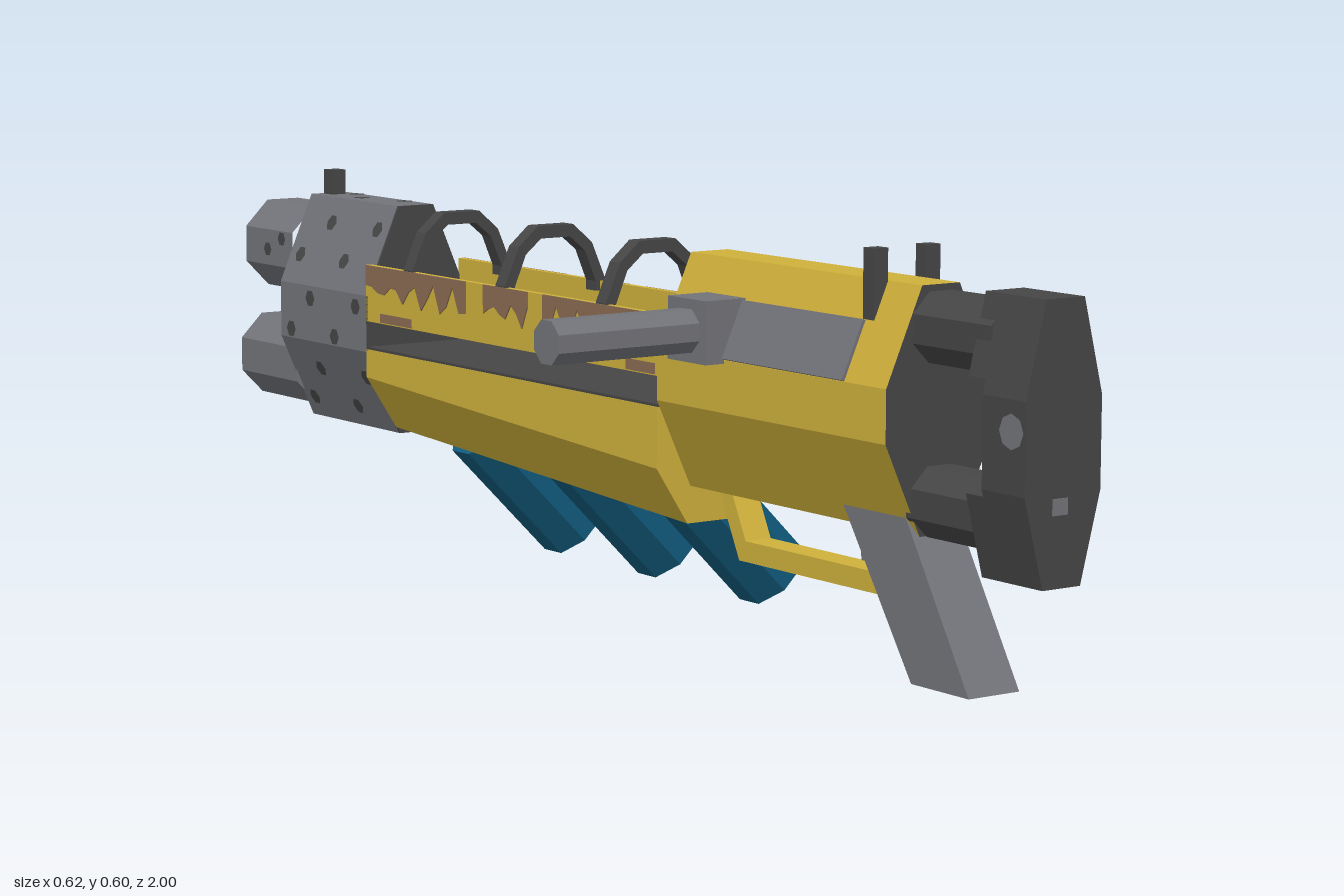
import * as THREE from 'three';

const mat = (name, color, side = THREE.FrontSide) => {
  const m = new THREE.MeshStandardMaterial({ color, side });
  m.name = name;
  return m;
};

export function createModel() {
  const yellow = mat('yellow paint', 0xcfb03b);
  const grey = mat('grey metal', 0x73747a);
  const dark = mat('dark metal', 0x464646);
  const blue = mat('blue canister', 0x115c7e);
  const rust = mat('rust', 0x8a6c52);

  const model = new THREE.Group();
  const body = new THREE.Group();
  body.name = 'blaster';
  body.position.x = 0.0525;
  model.add(body);

  const add = (name, geo, material, x = 0, y = 0, z = 0) => {
    const m = new THREE.Mesh(geo, material);
    m.name = name;
    m.position.set(x, y, z);
    body.add(m);
    return m;
  };
  const box = (name, material, w, h, d, x, y, z) =>
    add(name, new THREE.BoxGeometry(w, h, d), material, x, y, z);
  const flat = (geo) => {
    const g = geo.toNonIndexed();
    g.computeVertexNormals();
    return g;
  };
  const poly = (pts) => new THREE.Shape(pts.map(([x, y]) => new THREE.Vector2(x, y)));
  // Prism from a half outline (right side, bottom to top), mirrored across x
  const prism = (half, z0, z1) => {
    const pts = [...half, ...[...half].reverse().map(([x, y]) => [-x, y])];
    const g = new THREE.ExtrudeGeometry(poly(pts), { depth: z1 - z0, bevelEnabled: false });
    return g.translate(0, 0, z0);
  };
  // Plate cut in the side plane from (z, y) points, w wide
  const sidePlate = (pts, w) => {
    const g = new THREE.ExtrudeGeometry(poly(pts.map(([z, y]) => [-z, y])), { depth: w, bevelEnabled: false });
    return g.translate(0, 0, -w / 2).rotateY(Math.PI / 2);
  };

  // Receiver
  const receiver = [[0.0325, 0.215], [0.0925, 0.345], [0.0925, 0.42], [0.0325, 0.555]];
  add('receiver', prism(receiver, 0.23, 0.75), [dark, yellow]);

  // Side slot and cocking handle on the right
  const slot = box('boltSlot', grey, 0.008, 0.088, 0.36, -0.075, 0.461, 0.48);
  slot.rotation.z = -0.418;
  box('handleMount', grey, 0.075, 0.09, 0.09, -0.087, 0.46, 0.345);
  const rod = new THREE.CylinderGeometry(0.033, 0.033, 0.245, 8).rotateY(Math.PI / 8).rotateZ(Math.PI / 2);
  add('cockingHandle', flat(rod), grey, -0.24, 0.46, 0.345);

  // Butt plate with a notched inner face
  const butt = [[0.0325, 0.18], [0.065, 0.305], [0.065, 0.43], [0.0325, 0.56]];
  add('buttPlate', prism(butt, 0.915, 1), dark);
  add('buttTop', prism([[0.06, 0.45], [0.0325, 0.56]], 0.88, 0.915), dark);
  add('buttBottom', prism([[0.0325, 0.18], [0.062, 0.295]], 0.88, 0.915), dark);
  for (const s of [-1, 1]) {
    const bolt = add('buttBolt', new THREE.CircleGeometry(0.024, 8), grey, s * 0.066, 0.388, 0.973);
    bolt.rotation.y = s * Math.PI / 2;
  }
  box('buttStud', grey, 0.025, 0.022, 0.004, -0.005, 0.288, 1);

  // Two rods between receiver and butt
  for (const y of [0.498, 0.262]) {
    const g = new THREE.CylinderGeometry(0.052, 0.052, 0.17, 8).rotateY(Math.PI / 8).rotateX(Math.PI / 2);
    add('stockRod', flat(g), dark, 0, y, 0.825);
  }

  // Grip, trigger and trigger guard
  add('grip', sidePlate([[0.87, 0.015], [0.75, 0.015], [0.6, 0.24], [0.735, 0.24]], 0.088), grey);
  add('trigger', sidePlate([[0.63, 0.16], [0.605, 0.16], [0.595, 0.22], [0.635, 0.22]], 0.03), grey);
  add('triggerGuard', sidePlate([
    [0.7, 0.12], [0.335, 0.12], [0.285, 0.22], [0.315, 0.22], [0.35, 0.15], [0.68, 0.15],
  ], 0.045), yellow);

  // Lower fore-end, its keel rising toward the muzzle
  const fore = prism([[0.0375, 0.16], [0.0925, 0.245], [0.0925, 0.335]], -0.56, 0.23);
  const p = fore.attributes.position;
  for (let i = 0; i < p.count; i++) {
    if (p.getY(i) < 0.3 && p.getZ(i) < 0) p.setY(i, p.getY(i) + 0.045);
  }
  fore.computeVertexNormals();
  add('lowerForeEnd', fore, yellow);
  box('foreEndDeck', dark, 0.183, 0.006, 0.79, 0, 0.336, -0.165);

  // Upper side rails with worn upper edges
  const wear = (z0, z1, n, phase) => {
    const pts = [[z0, 0.47]];
    for (let i = 0; i <= n; i++) {
      pts.push([z0 + (z1 - z0) * i / n, 0.432 + 0.016 * Math.sin(i * 1.9 + phase) + 0.01 * Math.sin(i * 4.1)]);
    }
    pts.push([z1, 0.47]);
    return sidePlate(pts, 0.003);
  };
  for (const s of [-1, 1]) {
    box('upperRail', yellow, 0.01, 0.09, 0.79, s * 0.0875, 0.425, -0.165);
    add('railWear', wear(0.228, -0.06, 16, 0), rust, s * 0.093);
    add('railWear', wear(-0.1, -0.22, 8, 2), rust, s * 0.093);
    add('railWear', wear(-0.27, -0.558, 16, 4), rust, s * 0.093);
    box('railWearLow', rust, 0.003, 0.016, 0.07, s * 0.093, 0.39, 0.19);
    box('railWearLow', rust, 0.003, 0.014, 0.09, s * 0.093, 0.389, -0.47);
  }

  // Hoops over the fore-end and slanted canisters beneath
  const outer = [[0.0925, 0.455], [0.0925, 0.472], [0.0675, 0.53], [0.0325, 0.56]];
  const inner = [[0.0745, 0.455], [0.0745, 0.47], [0.0545, 0.518], [0.0265, 0.541]];
  const mirror = (a) => [...a].reverse().map(([x, y]) => [-x, y]);
  const hoopShape = poly([...outer, ...mirror(outer), ...inner.map(([x, y]) => [-x, y]), ...[...inner].reverse()]);
  for (const z of [0.09, -0.175, -0.435]) {
    const g = new THREE.ExtrudeGeometry(hoopShape, { depth: 0.026, bevelEnabled: false });
    add('hoop', g, dark, 0, 0, z - 0.013);
    const c = new THREE.CylinderGeometry(0.061, 0.061, 0.25, 8).rotateY(Math.PI / 8).rotateZ(Math.PI / 4);
    add('canister', flat(c), blue, 0.2175 - 0.0884, 0.04 + 0.0884, z + 0.005);
  }

  // Muzzle housing
  const housing = [[0.0325, 0.195], [0.0925, 0.33], [0.0925, 0.42], [0.0325, 0.56]];
  add('muzzleHousing', prism(housing, -0.825, -0.56), grey);
  add('housingBackPlate', prism(housing, -0.56, -0.556), dark);

  // Staggered vent dots on the housing sides and top
  [0.52, 0.465, 0.4, 0.345, 0.285, 0.23].forEach((y, row) => {
    const slope = y > 0.42 ? (0.56 - y) / 0.14 : y < 0.33 ? (y - 0.195) / 0.135 : 1;
    const tilt = y > 0.42 ? 0.405 : y < 0.33 ? -0.418 : 0;
    for (const s of [-1, 1]) {
      for (const z of row % 2 ? [-0.655, -0.79] : [-0.59, -0.73]) {
        const g = new THREE.CircleGeometry(0.014, 6).rotateY(s * Math.PI / 2).rotateZ(s * tilt);
        add('ventDot', g, dark, s * (0.0325 + 0.06 * slope + 0.002), y + 0.001 * Math.sign(tilt), z);
      }
    }
  });
  for (const [x, z] of [[0.012, -0.61], [-0.012, -0.7], [0.015, -0.76]]) {
    add('ventDot', new THREE.CircleGeometry(0.014, 6).rotateX(-Math.PI / 2), dark, x, 0.562, z);
  }

  // Hollow upper barrel and solid lower barrel
  const tube = [[0.077, 0], [0.077, 0.15], [0.06, 0.15], [0.06, 0.02], [0, 0.02]]
    .map(([x, y]) => new THREE.Vector2(x, y));
  const upper = new THREE.LatheGeometry(tube, 8).rotateY(Math.PI / 8).rotateX(-Math.PI / 2);
  add('upperBarrel', flat(upper), grey, 0, 0.468, -0.823);
  const lower = new THREE.CylinderGeometry(0.072, 0.072, 0.18, 8).rotateY(Math.PI / 8).rotateX(Math.PI / 2);
  add('lowerBarrel', flat(lower), grey, 0, 0.279, -0.91);
  for (const s of [-1, 1]) {
    for (const [y, z] of [[0.465, -0.9], [0.485, -0.855]]) {
      add('ventDot', new THREE.CircleGeometry(0.012, 6).rotateY(s * Math.PI / 2), dark, s * 0.073, y, z);
    }
  }

  // Sights
  for (const s of [-1, 1]) box('rearSight', dark, 0.025, 0.097, 0.022, s * 0.0455, 0.551, 0.667);
  box('frontSight', dark, 0.026, 0.05, 0.025, 0, 0.575, -0.805);

  return model;
}
